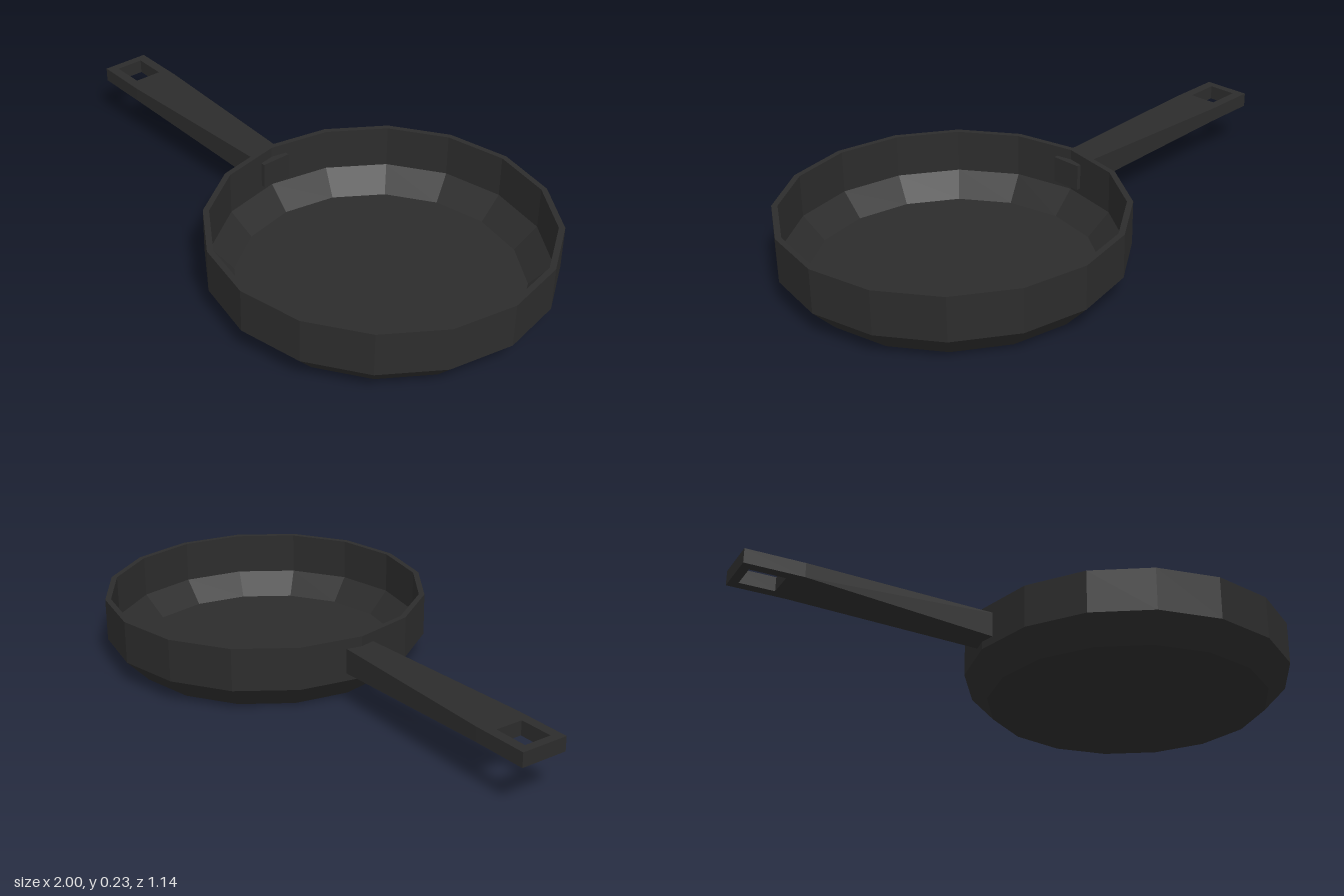
import * as THREE from 'three';

const iron = new THREE.MeshStandardMaterial({ color: 0x2c2c2c });
iron.name = 'castIron';

// Faceted mesh: every face gets its own flat normal
function part(name, geometry) {
  const flat = geometry.index ? geometry.toNonIndexed() : geometry;
  flat.computeVertexNormals();
  const mesh = new THREE.Mesh(flat, iron);
  mesh.name = name;
  return mesh;
}

export function createModel() {
  const pan = new THREE.Group();
  pan.name = 'fryingPan';

  // Sixteen-sided dish: underside, flared foot, upright wall, rim, inside
  const profile = [
    [0, 0], [0.49, 0], [0.57, 0.085], [0.57, 0.235],
    [0.55, 0.235], [0.55, 0.088], [0.475, 0.01], [0, 0.01],
  ].map(([r, y]) => new THREE.Vector2(r, y));
  const dish = part('dish', new THREE.LatheGeometry(profile, 16));
  dish.position.x = 0.43;
  pan.add(dish);

  // Handle end: flat block with a hanging hole
  const top = 0.2, thick = 0.05, bend = -0.8;
  const outline = new THREE.Shape([
    [-1, -0.085], [bend, -0.085], [bend, 0.085], [-1, 0.085],
  ].map(([x, z]) => new THREE.Vector2(x, z)));
  outline.holes.push(new THREE.Path([
    [-0.97, -0.05], [-0.97, 0.05], [-0.85, 0.05], [-0.85, -0.05],
  ].map(([x, z]) => new THREE.Vector2(x, z))));
  const end = new THREE.ExtrudeGeometry(outline, { depth: thick, bevelEnabled: false });
  end.rotateX(-Math.PI / 2).translate(0, top - thick, 0);
  pan.add(part('handleEnd', end));

  // Handle shaft: narrows and deepens towards the dish, just piercing its wall
  const inner = -0.095;
  const shaft = new THREE.BoxGeometry(1, 1, 1);
  const p = shaft.attributes.position;
  for (let i = 0; i < p.count; i++) {
    const atDish = p.getX(i) > 0;
    const halfWidth = atDish ? 0.053 : 0.085;
    const bottom = atDish ? 0.11 : top - thick;
    p.setXYZ(i, atDish ? inner : bend, p.getY(i) > 0 ? top : bottom, Math.sign(p.getZ(i)) * halfWidth);
  }
  pan.add(part('handleShaft', shaft));

  return pan;
}
